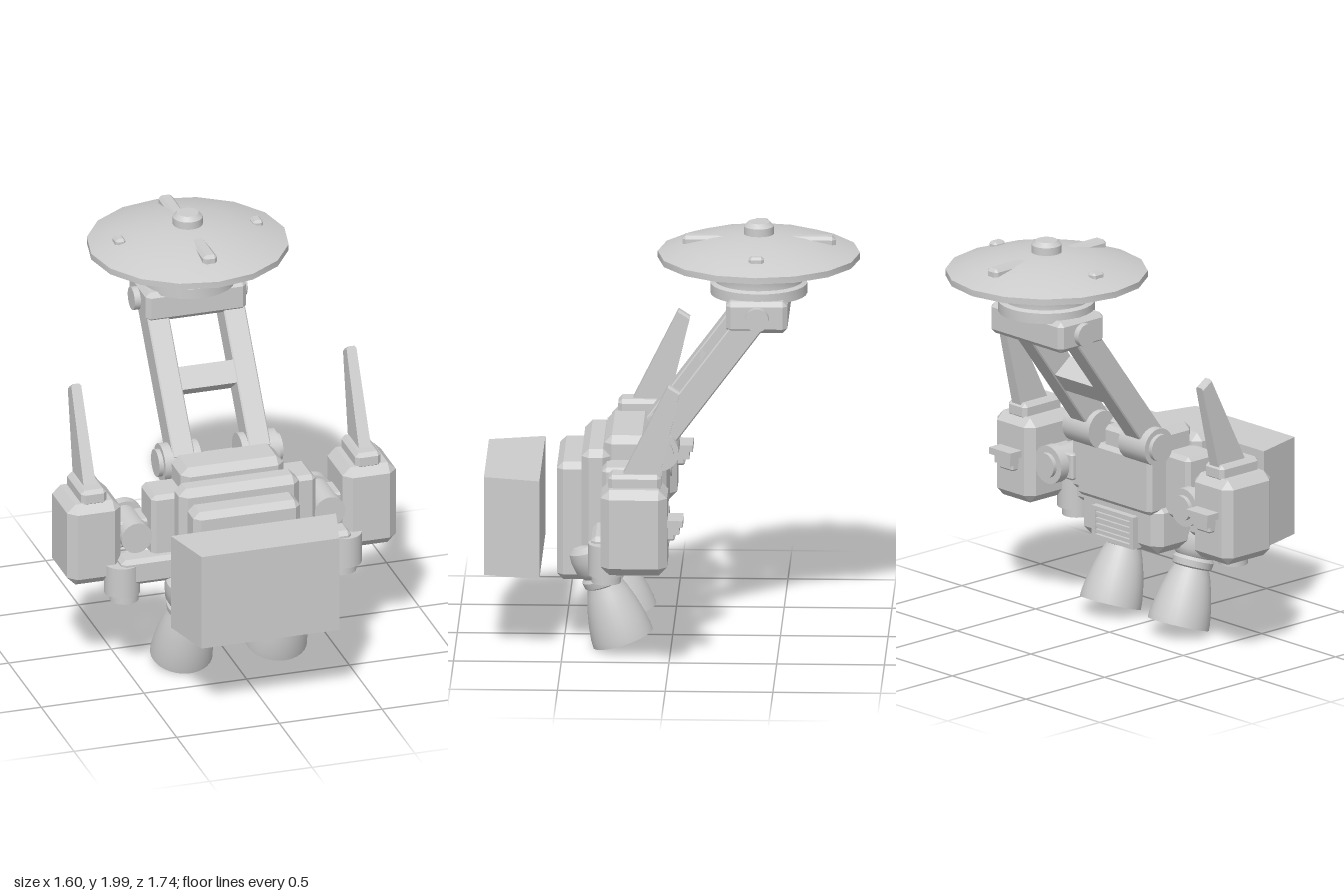
import * as THREE from 'three';
import { toCreasedNormals } from 'three/addons/utils/BufferGeometryUtils.js';
import { ConvexGeometry } from 'three/addons/geometries/ConvexGeometry.js';

const grey = new THREE.MeshStandardMaterial({ color: 0xcccccc });
const greyOpen = new THREE.MeshStandardMaterial({ color: 0xcccccc, side: THREE.DoubleSide });
greyOpen.name = 'light grey, open shell';
grey.name = 'light grey';

const V = (x, y, z) => new THREE.Vector3(x, y, z);

function add(parent, name, geometry, material = grey) {
  const mesh = new THREE.Mesh(geometry, material);
  mesh.name = name;
  parent.add(mesh);
  return mesh;
}

// Box between two corners, all edges chamfered by c
function block(parent, name, x0, x1, y0, y1, z0, z1, c = 0.02) {
  const w = (x1 - x0) / 2, h = (y1 - y0) / 2, d = (z1 - z0) / 2, pts = [];
  for (const i of [-1, 1]) for (const j of [-1, 1]) for (const k of [-1, 1]) {
    pts.push(V(i * w, j * (h - c), k * (d - c)), V(i * (w - c), j * h, k * (d - c)), V(i * (w - c), j * (h - c), k * d));
  }
  const mesh = add(parent, name, c > 0 ? new ConvexGeometry(pts) : new THREE.BoxGeometry(2 * w, 2 * h, 2 * d));
  mesh.position.set((x0 + x1) / 2, (y0 + y1) / 2, (z0 + z1) / 2);
  return mesh;
}

// Cylinder along a chosen axis
function rod(parent, name, axis, r, length, x, y, z, sides = 24) {
  const mesh = add(parent, name, new THREE.CylinderGeometry(r, r, length, sides));
  if (axis === 'x') mesh.rotation.z = Math.PI / 2;
  if (axis === 'z') mesh.rotation.x = Math.PI / 2;
  mesh.position.set(x, y, z);
  return mesh;
}

function lathe(points, sides, crease) {
  const g = new THREE.LatheGeometry(points.map(p => new THREE.Vector2(p[0], p[1])), sides);
  return toCreasedNormals(g, crease);
}

function buildDish() {
  const g = new THREE.Group();
  g.name = 'dish';
  g.position.z = -0.4;
  add(g, 'dishShell', lathe([[0, 1.77], [0.2, 1.77], [0.34, 1.795], [0.47, 1.825], [0.47, 1.855],
    [0.36, 1.895], [0.22, 1.927], [0.1, 1.942], [0, 1.945]], 16, 0.45));
  add(g, 'dishKnob', lathe([[0.07, 1.92], [0.07, 1.98], [0.05, 2], [0, 2]], 24, 0.5));
  add(g, 'dishNeck', lathe([[0, 1.66], [0.225, 1.66], [0.225, 1.71], [0.205, 1.72], [0.205, 1.755], [0.215, 1.78]], 28, 0.5));
  for (const s of [-1, 1]) {
    const z = s * 0.24;
    block(g, 'dishStrip', -0.035, 0.035, 1.88, 1.935, z - 0.115, z + 0.115, 0.015);
    block(g, 'dishStud', s * 0.335 - 0.025, s * 0.335 + 0.025, 1.88, 1.922, -0.035, 0.035, 0.012);
  }
  return g;
}

function buildMast() {
  const g = new THREE.Group();
  g.name = 'mast';
  block(g, 'mastHead', -0.245, 0.245, 1.525, 1.675, -0.54, -0.254, 0.022);

  // Leaning frame, its local y running up along the arms
  const frame = new THREE.Group();
  frame.name = 'leaningFrame';
  frame.position.set(0, 1.268, -0.142);
  frame.rotation.x = -0.639;
  g.add(frame);
  block(frame, 'mastCrossbar', -0.15, 0.15, -0.055, 0.055, -0.06, 0.06, 0);
  for (const s of [-1, 1]) {
    const x = s * 0.185;
    block(frame, 'mastArm', x - 0.053, x + 0.053, -0.37, 0.39, -0.065, 0.065, 0.006);
    rod(g, 'headBolt', 'x', 0.055, 0.06, s * 0.245, 1.597, -0.4);
    rod(g, 'shoulderHinge', 'x', 0.09, 0.18, s * 0.19, 0.96, 0.052);
    rod(g, 'shoulderCap', 'x', 0.065, 0.03, s * 0.287, 0.96, 0.052);
  }
  return g;
}

function buildBody() {
  const g = new THREE.Group();
  g.name = 'body';
  block(g, 'bodyCore', -0.25, 0.25, 0.42, 1.025, 0.1, 0.31, 0.035);
  block(g, 'bodyMiddle', -0.293, 0.293, 0.4, 0.97, 0.28, 0.415, 0.035);
  block(g, 'bodyFront', -0.26, 0.26, 0.335, 0.9, 0.385, 0.53, 0.03);
  block(g, 'backPanel', -0.25, 0.25, 0.62, 0.9, 0.02, 0.15, 0.02);
  block(g, 'backSpine', -0.09, 0.09, 0.8, 0.99, 0.04, 0.15, 0.02);
  block(g, 'lowerBack', -0.27, 0.27, 0.42, 0.67, 0.05, 0.36, 0.045);

  // Rear vent with a raised frame and slats
  block(g, 'ventBack', -0.13, 0.13, 0.45, 0.58, 0.035, 0.08, 0);
  for (const s of [-1, 1]) {
    block(g, 'ventSide', s * 0.13 - 0.012, s * 0.13 + 0.012, 0.44, 0.59, 0.018, 0.07, 0);
    block(g, 'ventEdge', -0.14, 0.14, 0.515 + s * 0.068 - 0.01, 0.515 + s * 0.068 + 0.01, 0.018, 0.07, 0);
  }
  for (let i = 0; i < 4; i++) {
    const y = 0.473 + i * 0.028;
    block(g, 'ventSlat', -0.12, 0.12, y - 0.007, y + 0.007, 0.022, 0.05, 0);
  }
  return g;
}

// Left-hand side assembly, mirrored for the right by the sign s
function buildSide(s) {
  const g = new THREE.Group();
  g.name = s > 0 ? 'leftSide' : 'rightSide';
  const sideBlock = (name, x0, x1, ...rest) =>
    block(g, name, Math.min(s * x0, s * x1), Math.max(s * x0, s * x1), ...rest);

  // Joint between body and pod
  sideBlock('hipBlock', 0.23, 0.4, 0.6, 0.915, 0.125, 0.315, 0.02);
  sideBlock('linkBar', 0.27, 0.56, 0.495, 0.625, 0.24, 0.36, 0.02);
  sideBlock('podBracket', 0.36, 0.57, 0.64, 0.77, 0.1, 0.24, 0.01);
  rod(g, 'jointBarrel', 'z', 0.075, 0.26, s * 0.47, 0.71, 0.17);
  rod(g, 'jointFlange', 'z', 0.092, 0.05, s * 0.46, 0.71, 0.065);
  rod(g, 'jointCap', 'z', 0.06, 0.03, s * 0.46, 0.71, 0.035);
  rod(g, 'thruster', 'y', 0.084, 0.15, s * 0.54, 0.52, 0.29);
  rod(g, 'thrusterTip', 'y', 0.068, 0.05, s * 0.53, 0.43, 0.29);

  // Pod with its fin and rear handle
  sideBlock('pod', 0.54, 0.8, 0.5, 0.91, 0.0, 0.308, 0.04);
  sideBlock('finBase', 0.605, 0.73, 0.89, 0.97, 0.03, 0.275, 0.018);
  const fin = [];
  for (const i of [-1, 1]) {
    fin.push(V(i * 0.03, 0.95, 0.215), V(i * 0.03, 0.95, 0.04), V(i * 0.024, 1.35, -0.055), V(i * 0.024, 1.385, 0.0));
    fin.push(V(i * 0.015, 1.395, -0.005), V(i * 0.015, 1.36, -0.058));
  }
  add(g, 'fin', new ConvexGeometry(fin)).position.x = s * 0.67;
  sideBlock('handleMount', 0.62, 0.715, 0.655, 0.75, -0.035, 0.02, 0.008);
  sideBlock('handleTop', 0.595, 0.74, 0.725, 0.757, -0.072, 0.01, 0);
  sideBlock('handlePlate', 0.615, 0.72, 0.685, 0.725, -0.055, 0.01, 0);

  // Tilted rocket nozzle
  const nozzle = new THREE.Group();
  nozzle.name = 'nozzle';
  nozzle.position.set(s * 0.23, 0.055, 0.2225);
  nozzle.rotation.x = 0.316;
  add(nozzle, 'bell', lathe([[0, 0.22], [0.06, 0.22], [0.1, 0.15], [0.125, 0.07], [0.137, 0], [0.146, 0], [0.145, 0.03],
    [0.134, 0.1], [0.118, 0.17], [0.098, 0.235], [0.082, 0.275], [0.078, 0.29]], 28, 0.7), greyOpen);
  add(nozzle, 'collar', lathe([[0.078, 0.27], [0.094, 0.28], [0.098, 0.31], [0.086, 0.325], [0.096, 0.335],
    [0.11, 0.36], [0.118, 0.42], [0.115, 0.46], [0.09, 0.485], [0, 0.49]], 28, 0.5), greyOpen);
  g.add(nozzle);
  return g;
}

// Floating front block, narrower towards the front
function buildFrontBlock(parent) {
  const pts = [];
  for (const i of [-1, 1]) for (const y of [0.38, 0.85]) {
    pts.push(V(i * 0.402, y, 0.605), V(i * 0.335, y, 0.865));
  }
  add(parent, 'frontBlock', new ConvexGeometry(pts));
}

export function createModel() {
  const model = new THREE.Group();
  model.name = 'dishBackpack';
  model.add(buildDish(), buildMast(), buildBody(), buildSide(1), buildSide(-1));
  buildFrontBlock(model);
  return model;
}
